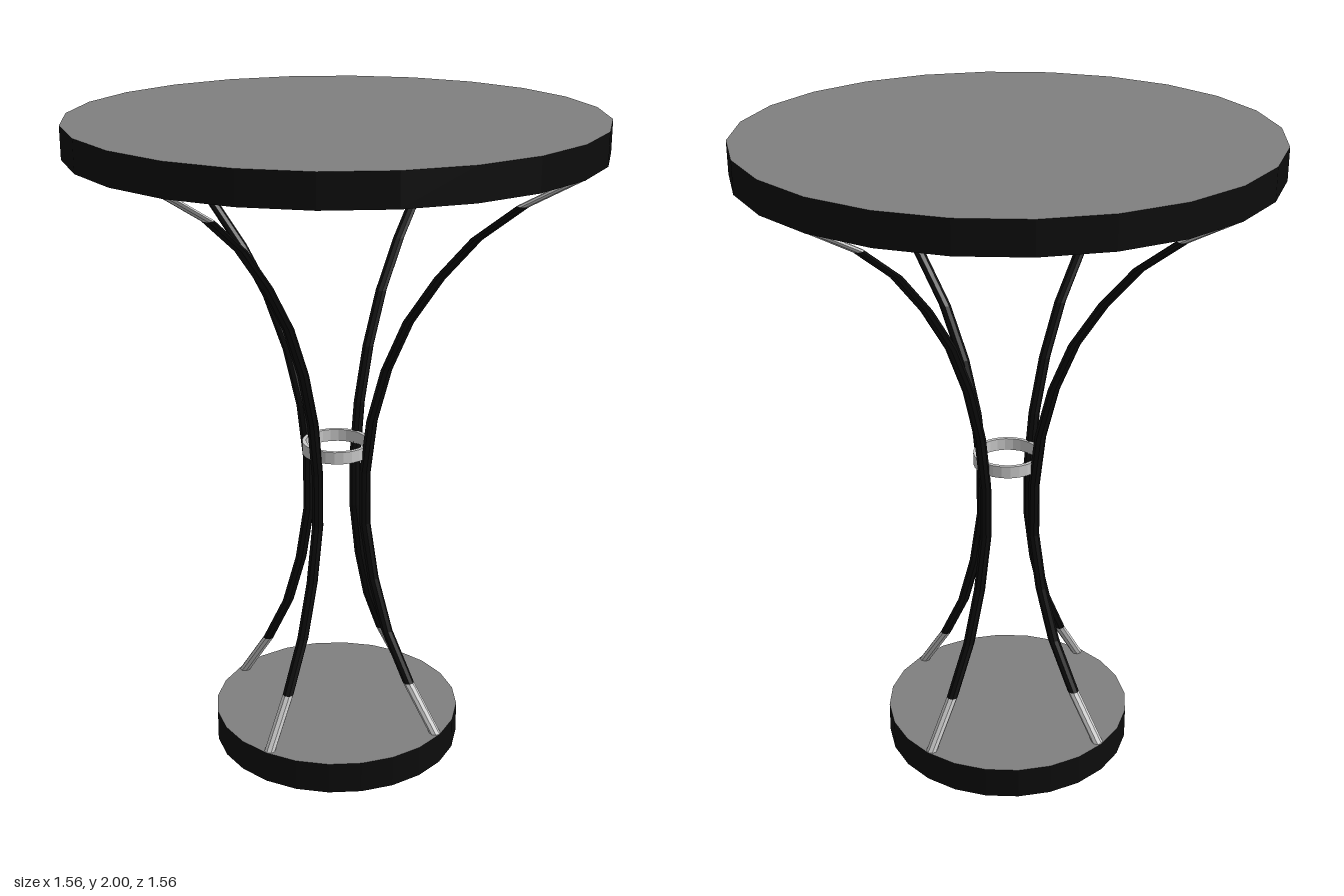
import * as THREE from 'three';

const metal = new THREE.MeshStandardMaterial({ color: 0xcccccc, flatShading: true, side: THREE.DoubleSide });
const black = new THREE.MeshStandardMaterial({ color: 0x0c0c0c, flatShading: true });
const grey = new THREE.MeshStandardMaterial({ color: 0x808080 });

// Leg centre line as [distance from axis, height]
const path = [
  [0.372, 0.1], [0.272, 0.25], [0.19, 0.41], [0.137, 0.58], [0.105, 0.76], [0.105, 0.93], [0.128, 1.1],
  [0.177, 1.27], [0.25, 1.43], [0.35, 1.575], [0.465, 1.705], [0.605, 1.815], [0.763, 1.905],
];

// Bar with level round cross-sections, so it slims where it leans outward
function bar(points, radius = 0.0175, sides = 8) {
  const pos = [], index = [];
  for (const [x, y] of points) {
    for (let i = 0; i < sides; i++) {
      const a = (i / sides) * Math.PI * 2;
      pos.push(x + radius * Math.cos(a), y, radius * Math.sin(a));
    }
  }
  for (let r = 0; r < points.length - 1; r++) {
    for (let i = 0; i < sides; i++) {
      const a = r * sides + i, b = r * sides + ((i + 1) % sides);
      index.push(a, a + sides, b, b, a + sides, b + sides);
    }
  }
  const g = new THREE.BufferGeometry();
  g.setAttribute('position', new THREE.Float32BufferAttribute(pos, 3));
  g.setIndex(index);
  g.computeVertexNormals();
  return g;
}

function add(parent, name, geometry, material, y = 0) {
  const mesh = new THREE.Mesh(geometry, material);
  mesh.name = name;
  mesh.position.y = y;
  parent.add(mesh);
}

export function createModel() {
  const table = new THREE.Group();
  table.name = 'pedestalTable';

  // Round top and base: black rim, grey faces
  add(table, 'tableTop', new THREE.CylinderGeometry(0.782, 0.782, 0.095, 24), [black, grey, grey], 1.9525);
  add(table, 'base', new THREE.CylinderGeometry(0.391, 0.391, 0.1, 24), [black, grey, grey], 0.05);

  // Four curved legs with metal ends
  const last = path.length - 1;
  const foot = bar(path.slice(0, 2));
  const shaft = bar(path.slice(1, last));
  const tip = bar(path.slice(last - 1));
  for (let i = 0; i < 4; i++) {
    const leg = new THREE.Group();
    leg.name = `leg${i + 1}`;
    leg.rotation.y = (i * Math.PI) / 2;
    add(leg, 'legFoot', foot, metal);
    add(leg, 'legShaft', shaft, black);
    add(leg, 'legTip', tip, metal);
    table.add(leg);
  }

  // Metal ring holding the legs together
  const profile = [[0.094, 0.972], [0.106, 0.972], [0.106, 1.01], [0.094, 1.01], [0.094, 0.972]]
    .map(([x, y]) => new THREE.Vector2(x, y));
  add(table, 'legRing', new THREE.LatheGeometry(profile, 24), metal);

  return table;
}
